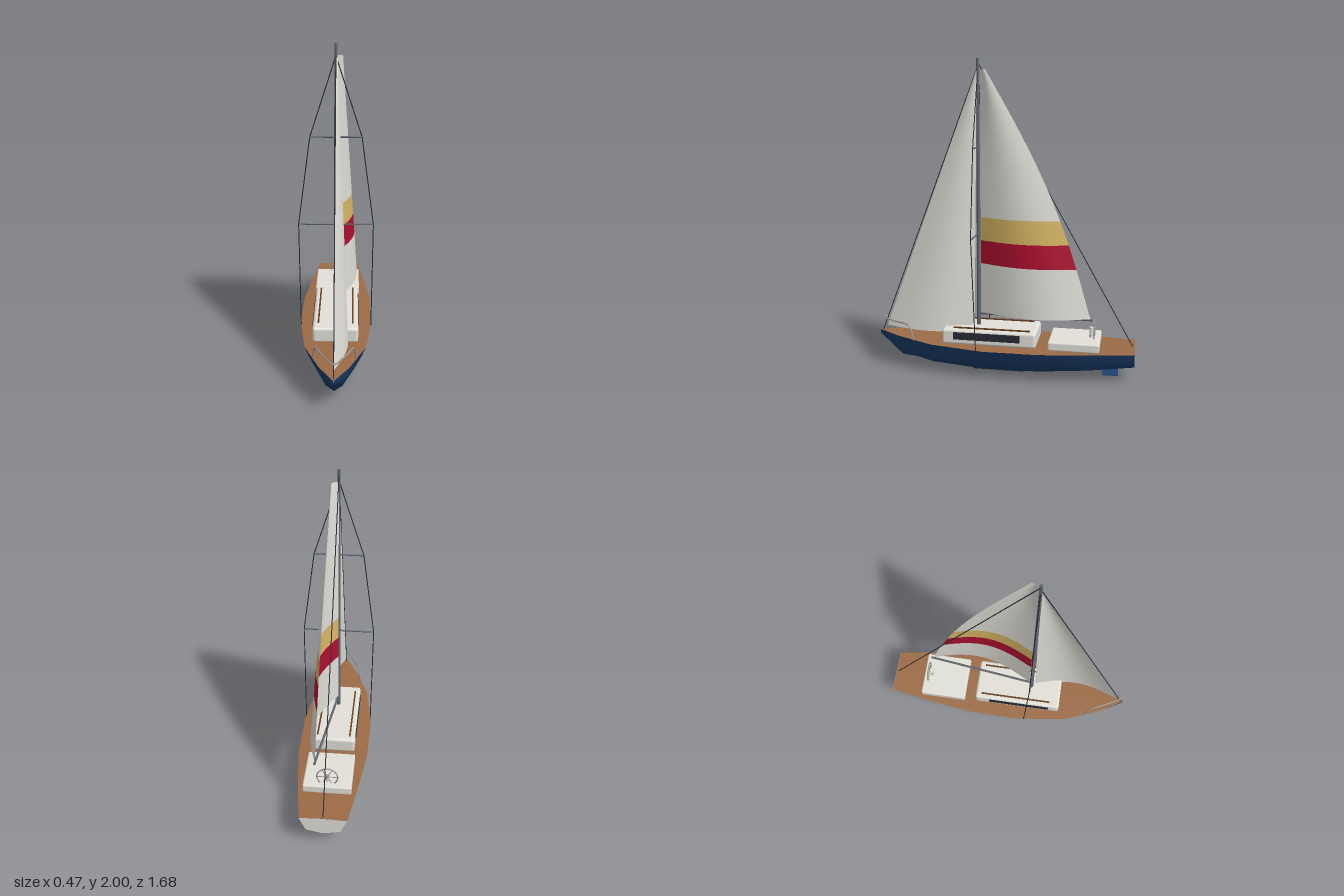
import * as THREE from 'three';
import { RoundedBoxGeometry } from 'three/addons/geometries/RoundedBoxGeometry.js';

const V = (x, y, z) => new THREE.Vector3(x, y, z);
const lerp = THREE.MathUtils.lerp;

function material(name, color, side = THREE.FrontSide) {
  const m = new THREE.MeshStandardMaterial({ color, side });
  m.name = name;
  return m;
}

// Surface through rows of points, all rows of equal length
function loft(rows) {
  const n = rows[0].length, index = [];
  for (let i = 0; i < rows.length - 1; i++)
    for (let j = 0; j < n - 1; j++) {
      const a = i * n + j, b = a + n;
      index.push(a, b, a + 1, a + 1, b, b + 1);
    }
  const g = new THREE.BufferGeometry().setFromPoints(rows.flat());
  g.setIndex(index);
  g.computeVertexNormals();
  return g;
}

export function createModel() {
  const boat = new THREE.Group();
  boat.name = 'sailboat';

  const navy = material('hull navy', 0x1b3e6c);
  const blue = material('rudder blue', 0x26538c);
  const teak = material('deck teak', 0x9c6b46);
  const wood = material('dark wood', 0x66401f);
  const white = material('off white', 0xe2e0d9, THREE.DoubleSide);
  const red = material('stripe red', 0xb01030, THREE.DoubleSide);
  const gold = material('stripe gold', 0xdab866, THREE.DoubleSide);
  const spar = material('spar grey', 0x62676f);
  const steel = material('rail steel', 0x9b9a94);
  const dark = material('dark grey', 0x272b33);

  const add = (name, geometry, mat, x = 0, y = 0, z = 0) => {
    const mesh = new THREE.Mesh(geometry, mat);
    mesh.name = name;
    mesh.position.set(x, y, z);
    boat.add(mesh);
    return mesh;
  };
  const box = (name, w, h, d, mat, x, y, z) =>
    add(name, new THREE.BoxGeometry(w, h, d), mat, x, y, z);
  const rod = (name, a, b, r, mat, rTop = r, sides = 8) => {
    const dir = b.clone().sub(a);
    const mesh = add(name, new THREE.CylinderGeometry(rTop, r, dir.length(), sides), mat);
    mesh.position.copy(a).lerp(b, 0.5);
    mesh.quaternion.setFromUnitVectors(V(0, 1, 0), dir.normalize());
    return mesh;
  };

  // Hull stations: z, deck half width, deck y, chine half width, chine y, keel y
  const stations = [
    [-0.84, 0.145, 0.205, 0.105, 0.112, 0.09],
    [-0.55, 0.19, 0.201, 0.14, 0.085, 0.056],
    [-0.25, 0.227, 0.198, 0.162, 0.066, 0.028],
    [0.1, 0.232, 0.198, 0.165, 0.062, 0.02],
    [0.44, 0.187, 0.207, 0.125, 0.072, 0.034],
    [0.69, 0.088, 0.218, 0.05, 0.1, 0.062],
    [0.84, 0.002, 0.226, 0.001, 0.213, 0.2],
  ];
  add('hull', loft(stations.map(([z, w, y, cw, cy, k]) => [
    V(w, y, z), V(lerp(w, cw, 0.5) + 0.004, lerp(y, cy, 0.5), z), V(cw, cy, z), V(0, k, z),
    V(-cw, cy, z), V(-lerp(w, cw, 0.5) - 0.004, lerp(y, cy, 0.5), z), V(-w, y, z),
  ])), navy);
  add('deck', loft(stations.map(([z, w, y]) =>
    [V(-w, y, z), V(0, y + 0.006 * Math.min(1, w * 8), z), V(w, y, z)])), teak);

  // Transom closes the stern
  const [sz, sw, sy, cw, cy, sk] = stations[0];
  const transom = new THREE.Shape([
    [-sw, sy], [-cw, cy], [0, sk], [cw, cy], [sw, sy], [0, sy + 0.006],
  ].map(([x, y]) => new THREE.Vector2(x, y)));
  add('transom', new THREE.ShapeGeometry(transom), white, 0, 0, sz - 0.001).rotation.y = Math.PI;

  box('keel', 0.036, 0.03, 0.34, dark, 0, 0.015, 0.035);
  box('rudder', 0.02, 0.1, 0.1, blue, 0, 0.06, -0.69);

  // Cabin with side windows and roof rails, and the cockpit
  add('cabin', new RoundedBoxGeometry(0.284, 0.1, 0.605, 3, 0.018), white, 0, 0.251, 0.077);
  for (const s of [-1, 1]) {
    box('cabinWindow', 0.006, 0.048, 0.43, dark, s * 0.142, 0.26, 0.09);
    box('roofRail', 0.01, 0.01, 0.495, wood, s * 0.107, 0.304, 0.063);
  }
  add('cockpit', new RoundedBoxGeometry(0.304, 0.056, 0.32, 3, 0.01), white, 0, 0.229, -0.463);

  // Steering wheel on its pedestal
  rod('wheelPedestal', V(0, 0.25, -0.565), V(0, 0.322, -0.565), 0.013, white, 0.013, 12);
  add('wheelRim', new THREE.TorusGeometry(0.065, 0.004, 8, 28), steel, 0, 0.305, -0.585);
  for (let i = 0; i < 3; i++) {
    const a = i * Math.PI / 3, x = 0.065 * Math.cos(a), y = 0.065 * Math.sin(a);
    rod('wheelSpoke', V(-x, 0.305 - y, -0.585), V(x, 0.305 + y, -0.585), 0.0025, steel);
  }

  // Mast, boom and spreaders
  const mz = 0.165;
  rod('mast', V(0, 0.2, mz), V(0, 2, mz), 0.014, spar, 0.009, 14);
  rod('boom', V(0, 0.375, mz), V(0.08, 0.394, -0.575), 0.008, spar);
  const spreaders = [[0.905, 0.23], [1.455, 0.155]];
  for (const [y, w] of spreaders) rod('spreader', V(-w, y, mz), V(w, y, mz), 0.005, spar);

  // Standing rigging
  rod('forestay', V(0, 0.225, 0.822), V(0, 1.95, mz), 0.003, dark);
  rod('backstay', V(0, 0.2, -0.832), V(0, 1.975, mz), 0.003, dark);
  for (const s of [-1, 1]) {
    const path = [V(s * 0.226, 0.2, 0.14), ...spreaders.map(([y, w]) => V(s * w, y, mz)), V(0, 1.93, mz)];
    for (let i = 0; i < 3; i++) rod('shroud', path[i], path[i + 1], 0.003, dark);
  }

  // Mainsail: u runs from mast to trailing edge, v from foot to head
  const mainPoint = (u, v) => V(
    lerp(0.08, 0.04, v) * u + lerp(0.093, 0.015, v) * Math.sin(Math.PI * u),
    lerp(0.383 + 0.017 * u * (v < 0.01 ? 1 : 0), 1.93, v),
    lerp(0.15, lerp(-0.565, 0.11, v) - 0.075 * Math.sin(Math.PI * v), u));
  const jibPoint = (u, v) => V(
    lerp(0.022, 0.01, v) * u + lerp(0.068, 0.004, v) * Math.sin(Math.PI * u),
    lerp(0.26, 1.92, v),
    lerp(lerp(0.79, 0.178, v), lerp(0.19, 0.17, v), u));
  const sail = (name, point, y0, y1, yFrom, yTo, mat) => {
    const rows = [], steps = Math.max(4, Math.round((yTo - yFrom) * 20));
    for (let i = 0; i <= steps; i++) {
      const v = (lerp(yFrom, yTo, i / steps) - y0) / (y1 - y0), row = [];
      for (let j = 0; j <= 20; j++) row.push(point(j / 20, v));
      rows.push(row);
    }
    add(name, loft(rows), mat);
  };
  const bands = [
    ['mainsailFoot', 0.383, 0.71, white], ['mainsailRedStripe', 0.71, 0.86, red],
    ['mainsailGoldStripe', 0.86, 1.01, gold], ['mainsailUpper', 1.01, 1.93, white],
  ];
  for (const [name, a, b, mat] of bands) sail(name, mainPoint, 0.383, 1.93, a, b, mat);
  sail('headsail', jibPoint, 0.26, 1.92, 0.26, 1.92, white);

  // Bow rail around the foredeck
  const half = [V(0.13, 0.205, 0.572), V(0.122, 0.27, 0.59), V(0.112, 0.303, 0.615), V(0.06, 0.308, 0.72)];
  const rail = [...half, V(0, 0.315, 0.815), ...half.map(p => V(-p.x, p.y, p.z)).reverse()];
  add('bowRail', new THREE.TubeGeometry(new THREE.CatmullRomCurve3(rail), 48, 0.005, 8), steel);

  return boat;
}
